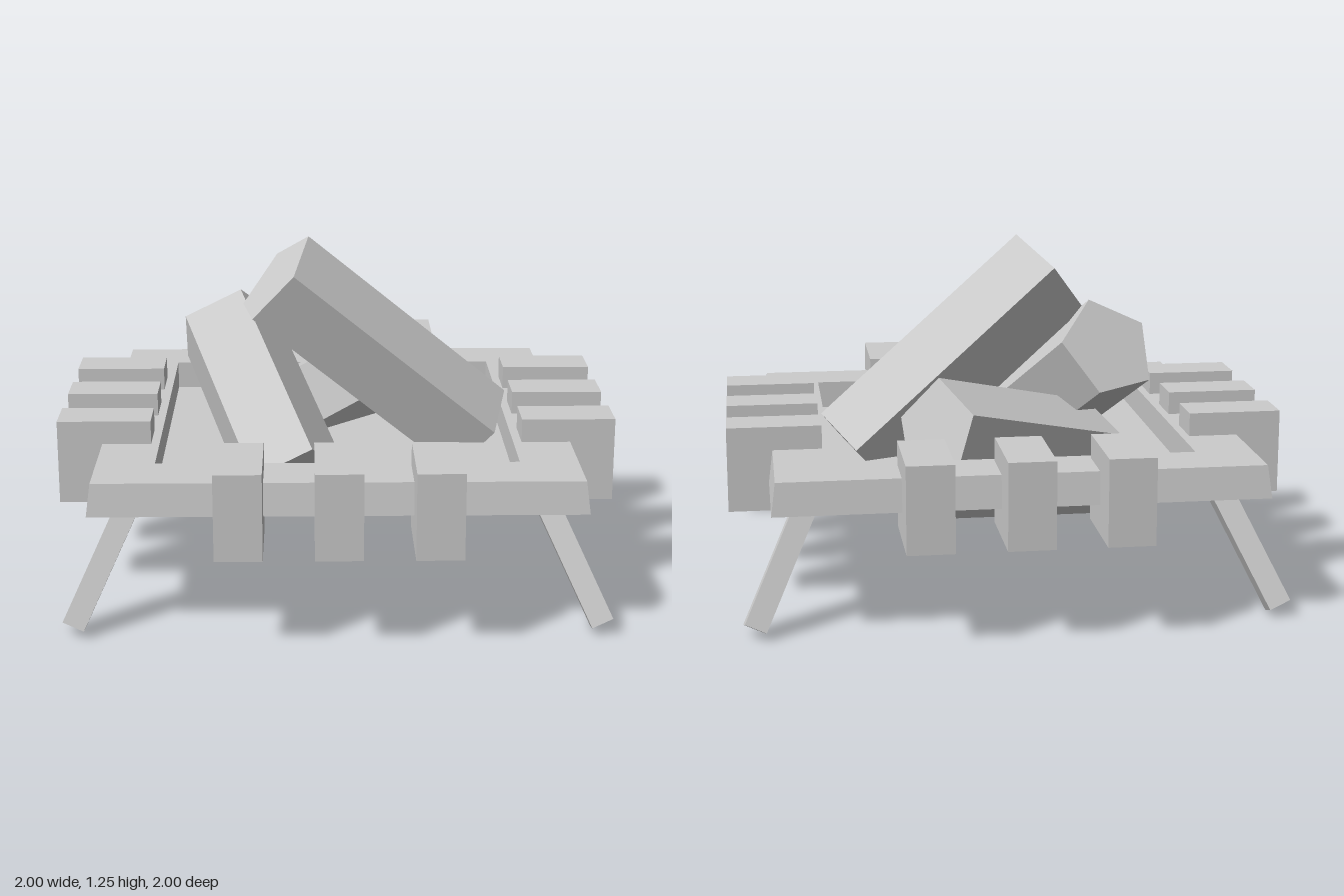
import * as THREE from 'three';

const material = new THREE.MeshStandardMaterial({ color: 0xcccccc, flatShading: true });

function addPart(parent, name, geometry) {
  const flat = geometry.index ? geometry.toNonIndexed() : geometry;
  flat.computeVertexNormals();
  const mesh = new THREE.Mesh(flat, material);
  mesh.name = name;
  parent.add(mesh);
  return mesh;
}

// Square tray: a profile of half-widths and heights swept around four corners
function addTray(group) {
  const profile = [
    [0, 0.35], [0.39, 0.35], [0.33, 0.275], [0.345, 0.275], [0.405, 0.35], [0.43, 0.35],
    [0.855, 0.46], [0.84, 0.575], [0.635, 0.575], [0.635, 0.47], [0, 0.47],
  ].map(([half, y]) => new THREE.Vector2(half * Math.SQRT2, y));
  addPart(group, 'tray', new THREE.LatheGeometry(profile, 4, Math.PI / 4));
}

// Three blocks clamped over each side of the rim
function addRimBlocks(group) {
  for (let side = 0; side < 4; side++) {
    const row = new THREE.Group();
    row.name = 'rimBlocks';
    row.rotation.y = (side * Math.PI) / 2;
    for (const x of [-0.337, 0, 0.337]) {
      addPart(row, 'rimBlock', new THREE.BoxGeometry(0.163, 0.305, 0.335)).position.set(x, 0.507, 0.8325);
    }
    group.add(row);
  }
}

// Splayed legs; the back pair sits slightly further in
function addLegs(group) {
  const up = new THREE.Vector3(0, 1, 0);
  for (const sx of [-1, 1]) {
    for (const [sz, inset, name] of [[1, 0, 'frontLeg'], [-1, 0.04, 'backLeg']]) {
      const foot = new THREE.Vector3(sx * 0.92, 0.033, sz * (0.79 - inset));
      const top = new THREE.Vector3(sx * 0.715, 0.46, sz * (0.625 - inset));
      const leg = addPart(group, name, new THREE.BoxGeometry(0.08, foot.distanceTo(top), 0.088));
      leg.position.addVectors(foot, top).multiplyScalar(0.5);
      leg.quaternion.setFromUnitVectors(up, top.sub(foot).normalize());
    }
  }
}

// Five-sided log from its upper end centre, along a run, with one corner towards ridge
function addLog(group, name, end, run, ridge) {
  const start = new THREE.Vector3(...end);
  const along = new THREE.Vector3(...run);
  const log = addPart(group, name, new THREE.CylinderGeometry(0.197, 0.197, along.length(), 5));
  log.position.copy(start).addScaledVector(along, 0.5);
  const yAxis = along.clone().normalize().negate();
  const zAxis = new THREE.Vector3(...ridge).projectOnPlane(yAxis).normalize();
  const xAxis = new THREE.Vector3().crossVectors(yAxis, zAxis);
  log.quaternion.setFromRotationMatrix(new THREE.Matrix4().makeBasis(xAxis, yAxis, zAxis));
}

export function createModel() {
  const group = new THREE.Group();
  group.name = 'firePit';
  addTray(group);
  addRimBlocks(group);
  addLegs(group);
  // Three stacked logs leaning on one another
  addLog(group, 'topLog', [-0.222, 1.103, 0.08], [0.75, -0.635, -0.135], [0.122, 0.152, -0.02]);
  addLog(group, 'frontLog', [-0.413, 0.858, -0.161], [0.265, -0.43, 0.613], [0.058, 0.162, 0.086]);
  addLog(group, 'backLog', [0.268, 0.635, -0.489], [-0.61, -0.2, 0.43], [-0.018, 0.185, 0.059]);
  return group;
}
